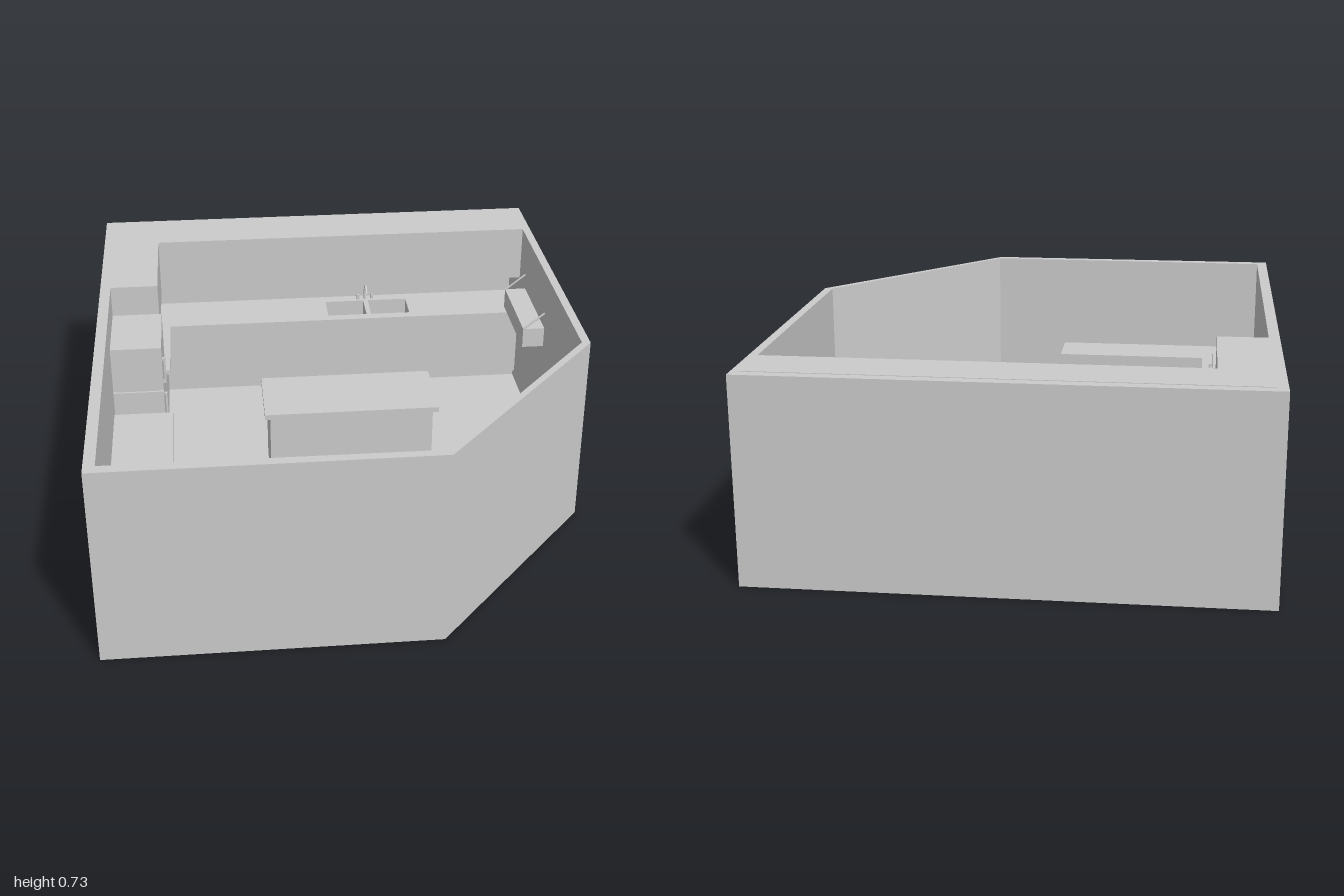
import * as THREE from 'three';

const material = new THREE.MeshStandardMaterial({ color: 0xcccccc, flatShading: true });

export function createModel() {
  const room = new THREE.Group();
  room.name = 'kitchen';

  const add = (name, geometry) => {
    const mesh = new THREE.Mesh(geometry, material);
    mesh.name = name;
    room.add(mesh);
    return mesh;
  };

  // Box given by its limits on each axis
  const box = (name, x0, x1, y0, y1, z0, z1) => {
    const mesh = add(name, new THREE.BoxGeometry(x1 - x0, y1 - y0, z1 - z0));
    mesh.position.set((x0 + x1) / 2, (y0 + y1) / 2, (z0 + z1) / 2);
  };

  // Floor-plan outline of [x, z] points, raised from y0 to y1.
  // Reversed to run counter-clockwise, so hole walls face inwards.
  const plan = (pts) => pts.map(([x, z]) => new THREE.Vector2(x, -z)).reverse();
  const slab = (name, pts, y0, y1, holes = []) => {
    const shape = new THREE.Shape(plan(pts));
    holes.forEach((h) => shape.holes.push(new THREE.Path(plan(h))));
    const geometry = new THREE.ExtrudeGeometry(shape, { depth: y1 - y0, bevelEnabled: false });
    geometry.rotateX(-Math.PI / 2).translate(0, y0, 0);
    add(name, geometry);
  };

  const rect = (x0, x1, z0, z1) => [[x0, z0], [x1, z0], [x1, z1], [x0, z1]];

  // Thin round bar between two points
  const bar = (name, a, b, r) => add(name, new THREE.TubeGeometry(
    new THREE.LineCurve3(new THREE.Vector3(...a), new THREE.Vector3(...b)), 1, r, 8));

  // Room shell with one cut corner
  const outer = [[-0.886, -1], [0.886, -1], [0.886, 0.285], [0.27, 1], [-0.886, 1]];
  const inner = [[-0.847, -0.96], [0.855, -0.96], [0.855, 0.28], [0.272, 0.968], [-0.847, 0.96]];
  slab('floor', outer, 0, 0.03);
  slab('walls', outer, 0.03, 0.73, [inner]);

  // L-shaped runs along the back and the x- wall; d is the setback of the front
  const backRun = (d) => [[-0.847, -0.96], [0.855, -0.96], [0.855, -0.733 - d],
    [-0.638 - d, -0.733 - d], [-0.638 - d, -0.34], [-0.847, -0.34]];
  const basins = [rect(0.035, 0.2, -0.91, -0.775), rect(0.22, 0.385, -0.91, -0.775)];
  slab('backToeKick', backRun(0.05), 0.03, 0.065);
  slab('backCabinets', backRun(0.02), 0.065, 0.28);
  slab('backCabinetTop', backRun(0.02), 0.28, 0.34, basins);
  slab('backWorktop', backRun(0), 0.34, 0.36, basins);
  slab('upperCabinets', backRun(0.029), 0.51, 0.732);

  // Tap behind the basins
  add('tap', new THREE.TubeGeometry(new THREE.CatmullRomCurve3([
    [0.21, 0.36, -0.93], [0.21, 0.415, -0.93], [0.21, 0.43, -0.905], [0.21, 0.41, -0.87],
  ].map((p) => new THREE.Vector3(...p))), 12, 0.005, 8));
  for (const x of [0.18, 0.24]) box('tapHandle', x - 0.006, x + 0.006, 0.36, 0.38, -0.936, -0.924);

  // Front L-shaped counter with peninsula end
  const frontRun = (d) => [[-0.847, d - 0.003], [-0.624 - d, d - 0.003], [-0.624 - d, 0.753 + d],
    [-0.018 - d, 0.753 + d], [-0.018 - d, 0.957], [-0.847, 0.957]];
  slab('frontToeKick', frontRun(0.05), 0.03, 0.065);
  slab('frontCabinets', frontRun(0.02), 0.065, 0.34);
  slab('frontWorktop', frontRun(0), 0.34, 0.36);

  // Island
  box('islandBase', -0.26, 0.365, 0.03, 0.34, -0.22, 0.035);
  box('islandWorktop', -0.28, 0.385, 0.34, 0.36, -0.24, 0.055);

  // Refrigerator: two compartments around a recessed core, each with a handle
  box('refrigeratorCore', -0.84, -0.67, 0.03, 0.6, -0.325, -0.05);
  for (const [y0, y1, h0, h1] of [[0.05, 0.43, 0.25, 0.41], [0.437, 0.615, 0.455, 0.56]]) {
    box('refrigeratorCompartment', -0.847, -0.657, y0, y1, -0.335, -0.042);
    box('refrigeratorHandle', -0.652, -0.645, h0, h1, -0.076, -0.064);
    for (const y of [h0, h1 - 0.01]) box('handleMount', -0.657, -0.652, y, y + 0.01, -0.076, -0.064);
  }

  // Wall shelf box held by a slanted stay at each end
  box('wallShelf', 0.77, 0.855, 0.43, 0.51, -0.65, -0.275);
  for (const z of [-0.648, -0.277]) bar('shelfStay', [0.772, 0.51, z], [0.853, 0.575, z], 0.004);

  return room;
}
